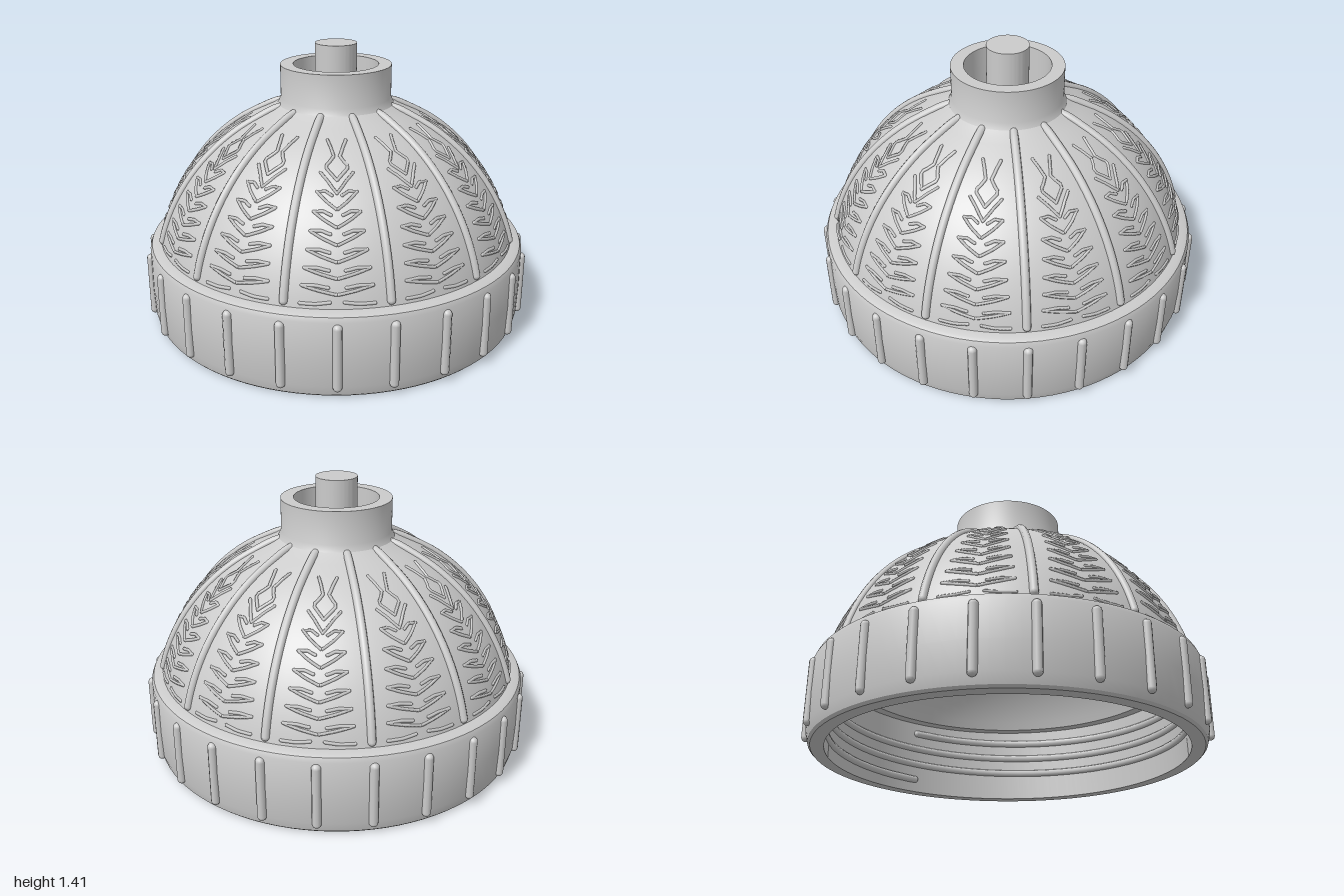
import * as THREE from 'three';
import { mergeGeometries, toCreasedNormals } from 'three/addons/utils/BufferGeometryUtils.js';

const CENTER_Y = 0.2, DOME_R = 0.944, INNER_R = 0.85;
const material = new THREE.MeshStandardMaterial({ color: 0xcccccc });
const radiusAt = (y) => Math.sqrt(DOME_R * DOME_R - (y - CENTER_Y) ** 2);

// Point on the dome: angle in degrees from +z, and height
function domePoint(deg, y) {
  const a = THREE.MathUtils.degToRad(deg), r = radiusAt(y);
  return new THREE.Vector3(Math.sin(a) * r, y, Math.cos(a) * r);
}

// Tube with round ends
function roundTube(points, radius, segments, sides) {
  const curve = new THREE.CatmullRomCurve3(points);
  const parts = [new THREE.TubeGeometry(curve, segments, radius, sides)];
  for (const p of [points[0], points[points.length - 1]]) {
    parts.push(new THREE.SphereGeometry(radius, sides, 6).translate(p.x, p.y, p.z));
  }
  return mergeGeometries(parts);
}

function ring(name, geometry, count, startDeg = 0) {
  const group = new THREE.Group();
  group.name = name + 's';
  for (let i = 0; i < count; i++) {
    const mesh = new THREE.Mesh(geometry, material);
    mesh.name = name;
    mesh.rotation.y = THREE.MathUtils.degToRad(startDeg) + (i / count) * Math.PI * 2;
    group.add(mesh);
  }
  return group;
}

// Closed cross-section: band, dome, neck, centre pin, then the inside
function shellGeometry() {
  const pts = [[0.885, 0], [0.95, 0], [0.962, 0.012], [0.975, 0.06], [0.98, 0.2], [0.978, 0.38], [0.968, 0.402], [0.952, 0.41]];
  for (let i = 0; i <= 20; i++) {
    const y = 0.415 + (1.07 - 0.415) * (i / 20);
    pts.push([radiusAt(y), y]);
  }
  pts.push([0.325, 1.09], [0.295, 1.108], [0.28, 1.14]);
  pts.push([0.28, 1.305], [0.215, 1.305], [0.215, 0.61], [0.13, 0.61], [0.13, 0.62]);
  pts.push([0.105, 0.62], [0.105, 1.41], [0, 1.41]);
  pts.push([0, 1.36], [0.09, 1.36], [0.09, 0.56], [0.235, 0.56]);
  const from = Math.asin(0.235 / INNER_R), to = Math.acos(0.2 / INNER_R);
  for (let i = 0; i <= 20; i++) {
    const a = from + (i / 20) * (to - from);
    pts.push([INNER_R * Math.sin(a), CENTER_Y + INNER_R * Math.cos(a)]);
  }
  pts.push([0.885, 0.4], [0.885, 0]);
  const lathe = new THREE.LatheGeometry(pts.map(([x, y]) => new THREE.Vector2(x, y)), 96);
  return toCreasedNormals(lathe, 0.5);
}

// Raised leaf-like tread for one panel, mirrored about its middle
function treadGeometry() {
  const strokes = [
    [[5.5, 1.035], [3.5, 1.015], [1.5, 0.985]],
    [[1.5, 0.985], [5, 0.95], [0, 0.905]],
    [[7, 0.93], [4, 0.905], [0, 0.86]],
  ];
  for (let i = 0; i < 6; i++) {
    const y = 0.835 - i * 0.068, w = 7.6 + i * 0.5;
    // upper rows are steep chevrons, lower ones nearly flat
    const rise = 0.06 - i * 0.005;
    strokes.push([[w, y + rise * 0.5], [w * 0.55, y], [0.3, y - rise * 0.5]]);
    strokes.push([[w, y + rise * 0.5], [w * 0.6, y + rise * 0.55], [w * 0.25, y + rise * 0.3]]);
  }
  strokes.push([[10.4, 0.437], [6, 0.437], [2, 0.445]]);
  const parts = [];
  for (const stroke of strokes) {
    for (const side of [1, -1]) {
      const path = [];
      stroke.forEach(([a, y], k) => {
        if (k > 0) {
          const [a0, y0] = stroke[k - 1];
          path.push(domePoint(side * (a + a0) / 2, (y + y0) / 2));
        }
        path.push(domePoint(side * a, y));
      });
      parts.push(roundTube(path, 0.008, 8, 5));
    }
  }
  return mergeGeometries(parts);
}

export function createModel() {
  const model = new THREE.Group();
  model.name = 'domedCap';

  const shell = new THREE.Mesh(shellGeometry(), material);
  shell.name = 'capShell';
  model.add(shell);

  // Ribs running down the dome
  const ribPath = [new THREE.Vector3(0, 1.1, 0.29), new THREE.Vector3(0, 1.09, 0.325)];
  for (let i = 0; i <= 10; i++) ribPath.push(domePoint(0, 1.06 - i * 0.062));
  model.add(ring('domeRib', roundTube(ribPath, 0.02, 32, 10), 12));

  // Tread panels between the ribs
  model.add(ring('treadPanel', treadGeometry(), 12, 15));

  // Grip ribs on the band
  const grip = new THREE.CapsuleGeometry(0.022, 0.29, 5, 10).translate(0, 0.207, 0.978);
  model.add(ring('gripRib', grip, 24));

  // Small lugs beside the lower end of the inner tube
  const lug = new THREE.BoxGeometry(0.09, 0.1, 0.07).translate(0, 0.61, 0.245);
  model.add(ring('tubeLug', lug, 2));

  // Screw thread inside the band
  const helix = [];
  for (let i = 0; i <= 72; i++) {
    const t = i / 72, a = t * Math.PI * 6 + Math.PI / 2;
    helix.push(new THREE.Vector3(Math.sin(a) * 0.888, 0.07 + 0.27 * t, Math.cos(a) * 0.888));
  }
  const thread = new THREE.Mesh(roundTube(helix, 0.02, 200, 8), material);
  thread.name = 'screwThread';
  model.add(thread);

  return model;
}
